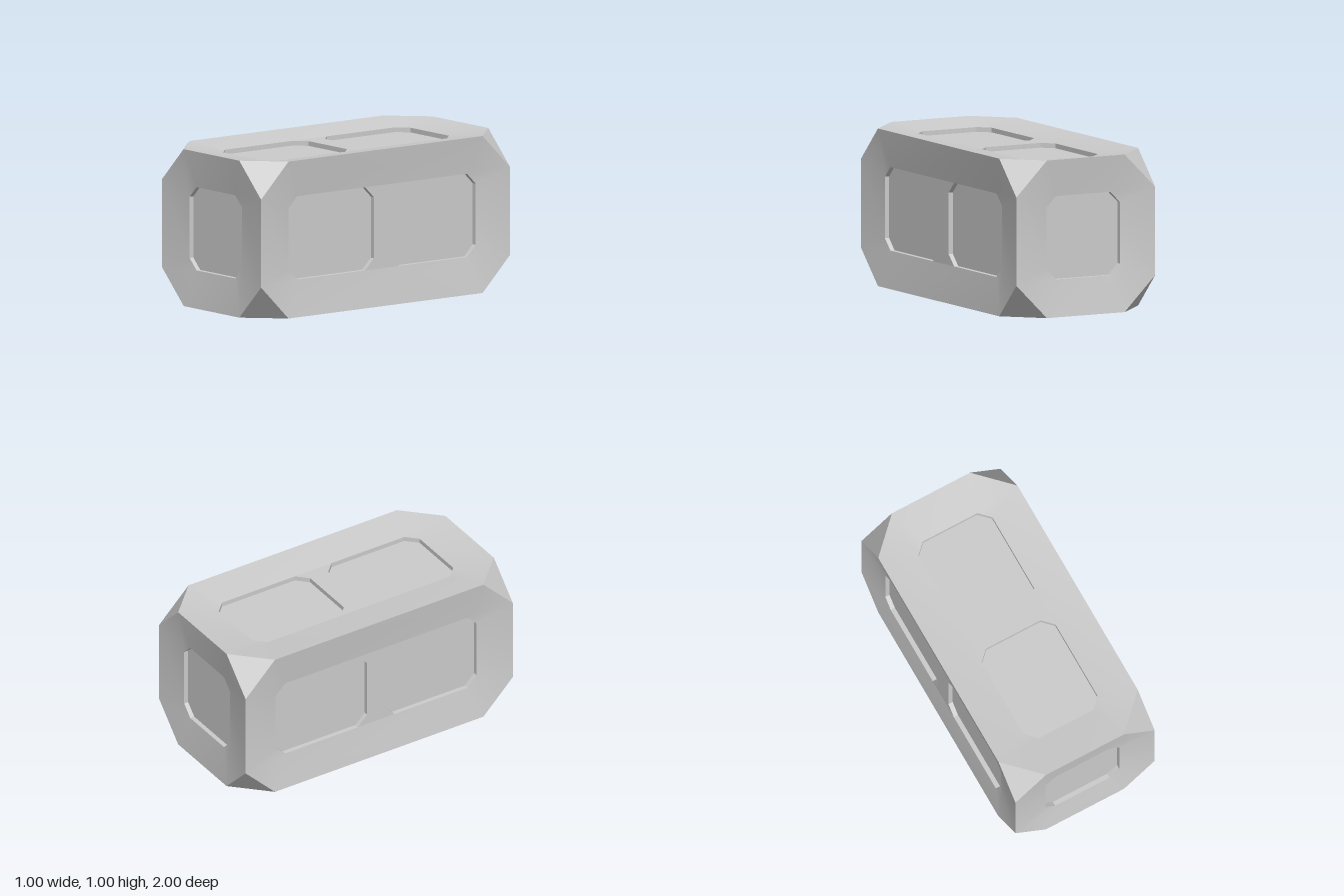
import * as THREE from 'three';
import { toCreasedNormals } from 'three/addons/utils/BufferGeometryUtils.js';

const HALF = 0.5, LENGTH = 1, CORNER = 0.22;      // block half sizes and corner cut
const PANEL = 0.265, PANEL_CUT = 0.07;            // panel half width and its corner cut
const END = 0.752, GAP = 0.067;                   // far and near ends of the side panels
const DISH = 0.035, FLOOR = 0.065;                // depth of panel rim and panel floor

// Counter-clockwise octagon, raised to height n
function octagon(hu, hv, cut, n, cv = 0) {
  return [
    [hu, -hv + cut], [hu, hv - cut], [hu - cut, hv], [-hu + cut, hv],
    [-hu, hv - cut], [-hu, -hv + cut], [-hu + cut, -hv], [hu - cut, -hv],
  ].map(([u, v]) => new THREE.Vector3(u, v + cv, n));
}

// Convex polygon as a fan of triangles
function fill(tris, loop) {
  for (let i = 1; i < loop.length - 1; i++) tris.push(loop[0], loop[i], loop[i + 1]);
}

// Band of quads from an outer loop to an inner loop
function bridge(tris, outer, inner) {
  outer.forEach((p, i) => {
    const j = (i + 1) % outer.length;
    fill(tris, [p, outer[j], inner[j], inner[i]]);
  });
}

export function createModel() {
  const group = new THREE.Group();
  const material = new THREE.MeshStandardMaterial({ color: 0xcccccc });

  function addMesh(name, tris, matrix = new THREE.Matrix4()) {
    const geometry = new THREE.BufferGeometry().setFromPoints(tris);
    geometry.applyMatrix4(matrix).translate(0, HALF, 0);
    const mesh = new THREE.Mesh(toCreasedNormals(geometry, Math.PI / 6), material);
    mesh.name = name;
    group.add(mesh);
  }

  // One dished face with one panel (ends) or two (long sides)
  function addFace(name, normal, along, isLong) {
    const across = new THREE.Vector3().crossVectors(along, normal);
    const matrix = new THREE.Matrix4().makeBasis(across, along, normal);
    const top = isLong ? HALF : LENGTH;
    const rim = top - DISH, floor = top - FLOOR;

    const frame = [];
    bridge(frame, octagon(HALF, isLong ? LENGTH : HALF, CORNER, top),
      octagon(PANEL, isLong ? END : PANEL, PANEL_CUT, rim));

    // Flat bar between the two panels, flared at its ends
    if (isLong) {
      const w = PANEL - PANEL_CUT, f = GAP + PANEL_CUT;
      const flat = (pts) => fill(frame, pts.map(([u, v]) => new THREE.Vector3(u, v, rim)));
      flat([[w, -GAP], [w, GAP], [-w, GAP], [-w, -GAP]]);
      for (const s of [1, -1]) {
        flat([[s * PANEL, -s * f], [s * PANEL, s * f], [s * w, s * GAP], [s * w, -s * GAP]]);
      }
    }
    addMesh(name + 'Frame', frame, matrix);

    // Recessed panels
    const hv = isLong ? (END - GAP) / 2 : PANEL;
    const centres = isLong ? [(END + GAP) / 2, -(END + GAP) / 2] : [0];
    centres.forEach((cv, i) => {
      const panel = [];
      const inner = octagon(PANEL, hv, PANEL_CUT, floor, cv);
      bridge(panel, octagon(PANEL, hv, PANEL_CUT, rim, cv), inner);
      fill(panel, inner);
      addMesh(name + 'Panel' + (i + 1), panel, matrix);
    });
  }

  const X = new THREE.Vector3(1, 0, 0), Y = new THREE.Vector3(0, 1, 0), Z = new THREE.Vector3(0, 0, 1);
  addFace('front', Z, Y, false);
  addFace('back', Z.clone().negate(), Y, false);
  addFace('left', X, Z, true);
  addFace('right', X.clone().negate(), Z, true);
  addFace('top', Y, Z, true);
  addFace('bottom', Y.clone().negate(), Z, true);

  // Eight cut corners
  const corners = [];
  for (const x of [1, -1]) for (const y of [1, -1]) for (const z of [1, -1]) {
    const tri = [
      new THREE.Vector3(x * (HALF - CORNER), y * HALF, z * LENGTH),
      new THREE.Vector3(x * HALF, y * (HALF - CORNER), z * LENGTH),
      new THREE.Vector3(x * HALF, y * HALF, z * (LENGTH - CORNER)),
    ];
    // The order flips with each mirrored axis
    if (x * y * z < 0) tri.reverse();
    corners.push(...tri);
  }
  addMesh('cutCorners', corners);

  return group;
}
